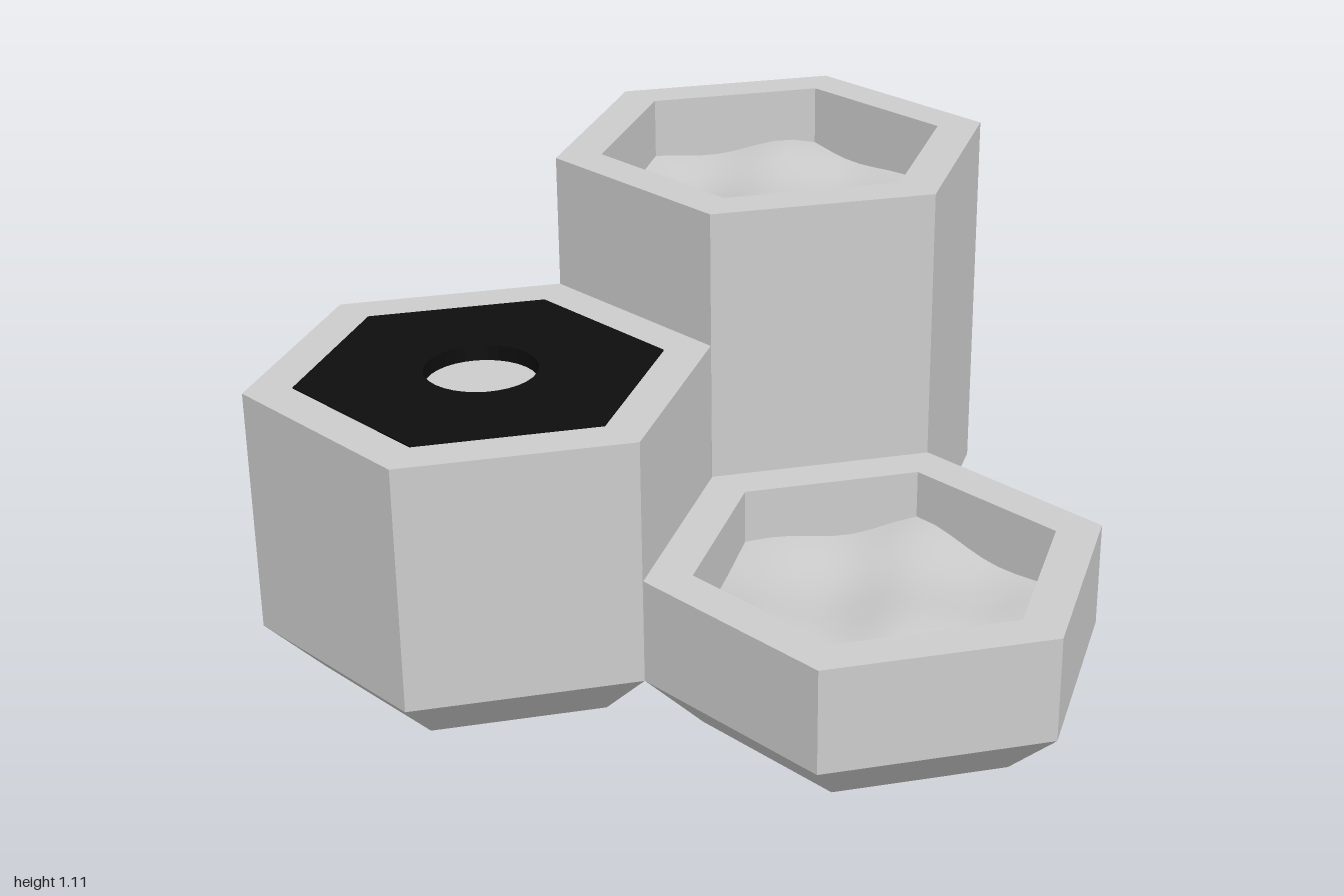
import * as THREE from 'three';
import { mergeVertices } from 'three/addons/utils/BufferGeometryUtils.js';

const OUTER = 0.571, INNER = 0.452, FOOT = 0.43, BEVEL = 0.135;
const grey = new THREE.MeshStandardMaterial({ color: 0xcccccc, flatShading: true });
const soilGrey = new THREE.MeshStandardMaterial({ color: 0xcccccc });
const black = new THREE.MeshStandardMaterial({ color: 0x0d0d0d, flatShading: true });

function add(parent, name, geometry, material) {
  const mesh = new THREE.Mesh(geometry, material);
  mesh.name = name;
  parent.add(mesh);
  return mesh;
}

// Six-sided pot: bevelled foot, straight wall, flat rim and a recess
function potGeometry(height, depth) {
  const profile = [
    [0, 0], [FOOT, 0], [OUTER, BEVEL], [OUTER, height],
    [INNER, height], [INNER, height - depth], [0, height - depth],
  ].map(([r, y]) => new THREE.Vector2(r, y));
  return new THREE.LatheGeometry(profile, 6, Math.PI / 2);
}

// Uneven soil: a disc stretched to the hexagon and raised in gentle waves
function soilGeometry(seed) {
  let g = new THREE.RingGeometry(0, INNER, 48, 12);
  g.rotateX(-Math.PI / 2);
  const p = g.attributes.position;
  for (let i = 0; i < p.count; i++) {
    const x = p.getX(i), z = p.getZ(i);
    const sector = Math.PI / 3;
    const a = (Math.atan2(z, x) + 2 * Math.PI + 1e-6) % sector;
    const k = Math.cos(sector / 2) / Math.cos(a - sector / 2);
    const X = x * k, Z = z * k;
    const y = 0.016 * Math.sin(9 * X + seed) * Math.cos(8 * Z - seed)
      + 0.009 * Math.sin(15 * X - 11 * Z + 2 * seed);
    p.setXYZ(i, X, y, Z);
  }
  g.deleteAttribute('normal');
  g.deleteAttribute('uv');
  g = mergeVertices(g, 1e-4);
  g.computeVertexNormals();
  return g;
}

// Hexagonal lid with a round hole, top face at y = 0
function lidGeometry(thickness) {
  const shape = new THREE.Shape();
  for (let i = 0; i < 6; i++) {
    const a = i * Math.PI / 3;
    shape[i ? 'lineTo' : 'moveTo'](INNER * Math.cos(a), INNER * Math.sin(a));
  }
  shape.closePath();
  const hole = new THREE.Path();
  hole.absarc(0, 0, 0.14, 0, Math.PI * 2, true);
  shape.holes.push(hole);
  const g = new THREE.ExtrudeGeometry(shape, { depth: thickness, bevelEnabled: false, curveSegments: 16 });
  g.rotateX(-Math.PI / 2);
  g.translate(0, -thickness, 0);
  return g;
}

export function createModel() {
  const model = new THREE.Group();
  model.name = 'hexagonalPlanters';

  const pots = [
    { name: 'tallPlanter', x: -0.429, z: -0.495, height: 1.11, soil: 0.165 },
    { name: 'lowPlanter', x: 0.429, z: 0, height: 0.405, soil: 0.15 },
    { name: 'coveredPot', x: -0.429, z: 0.495, height: 0.765, lid: 0.04 },
  ];

  pots.forEach((pot, i) => {
    const group = new THREE.Group();
    group.name = pot.name;
    group.position.set(pot.x, 0, pot.z);
    model.add(group);
    // The covered pot has its floor just beneath the lid
    add(group, 'pot', potGeometry(pot.height, pot.lid ? pot.lid : 0.22), grey);
    if (pot.soil) {
      add(group, 'soil', soilGeometry(1 + 2.3 * i), soilGrey).position.y = pot.height - pot.soil;
    } else {
      add(group, 'lid', lidGeometry(pot.lid), black).position.y = pot.height + 0.003;
    }
  });
  return model;
}
